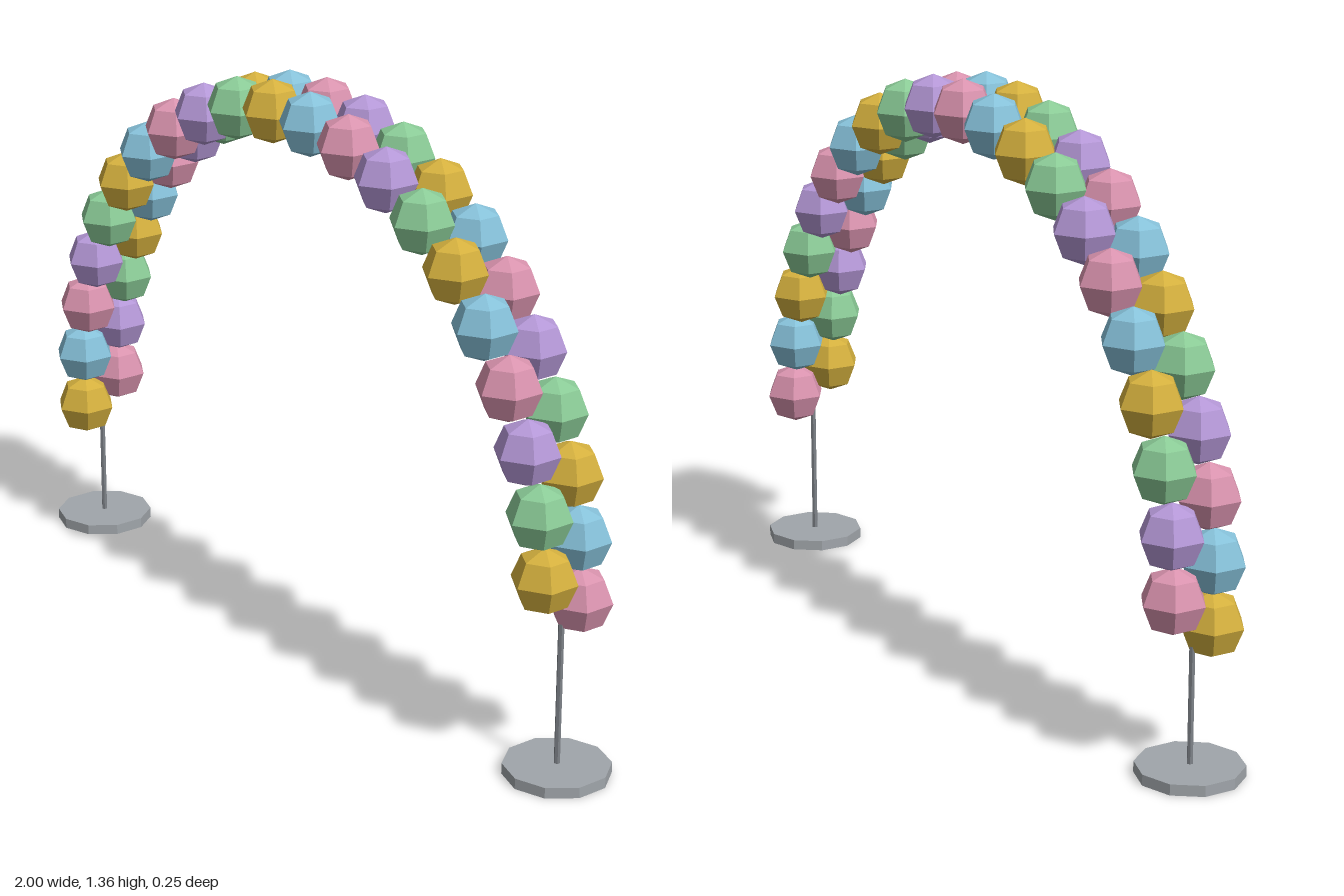
import * as THREE from 'three';

const ARCH_RADIUS = 0.885, ARCH_CENTRE_Y = 0.4, STEP = THREE.MathUtils.degToRad(4.5);

function material(name, color) {
  const m = new THREE.MeshStandardMaterial({ color });
  m.name = name;
  return m;
}

// Separate the faces so each one is shaded flat
function faceted(geometry) {
  const g = geometry.toNonIndexed();
  g.computeVertexNormals();
  return g;
}

export function createModel() {
  const model = new THREE.Group();
  model.name = 'balloonArch';

  const balloonMaterials = [
    material('yellow', 0xd4b03e),
    material('blue', 0x86c1d9),
    material('pink', 0xd993ae),
    material('purple', 0xb497d6),
    material('green', 0x8aca96),
  ];
  const baseMaterial = material('lightGrey', 0xa0a5aa);
  const poleMaterial = material('darkGrey', 0x7d8288);

  const add = (parent, name, geometry, mat, x, y, z) => {
    const mesh = new THREE.Mesh(geometry, mat);
    mesh.name = name;
    mesh.position.set(x, y, z);
    parent.add(mesh);
  };

  // Balloons: two staggered rows along a half circle, with a repeating colour order
  const balloons = new THREE.Group();
  balloons.name = 'balloons';
  model.add(balloons);
  const balloonGeometry = faceted(new THREE.SphereGeometry(0.075, 6, 4).rotateY(Math.PI / 2));
  for (let k = 0; k < 42; k++) {
    const back = k % 2;
    const i = Math.floor(k / 2);
    const angle = (k - 1) * STEP;
    add(balloons, back ? 'backBalloon' : 'frontBalloon', balloonGeometry,
      balloonMaterials[(i + 2 * back) % 5],
      -ARCH_RADIUS * Math.cos(angle),
      ARCH_CENTRE_Y + ARCH_RADIUS * Math.sin(angle),
      back ? -0.05 : 0.05);
  }

  // Stands: a ten-sided foot and a thin pole at each end
  const baseGeometry = faceted(new THREE.CylinderGeometry(0.12, 0.12, 0.025, 10));
  const poleGeometry = faceted(new THREE.CylinderGeometry(0.007, 0.007, 0.375, 6));
  for (const side of [-1, 1]) {
    const stand = new THREE.Group();
    stand.name = side > 0 ? 'leftStand' : 'rightStand';
    stand.position.x = side * ARCH_RADIUS;
    add(stand, 'base', baseGeometry, baseMaterial, 0, 0.0125, 0);
    add(stand, 'pole', poleGeometry, poleMaterial, 0, 0.2125, 0);
    model.add(stand);
  }
  return model;
}
